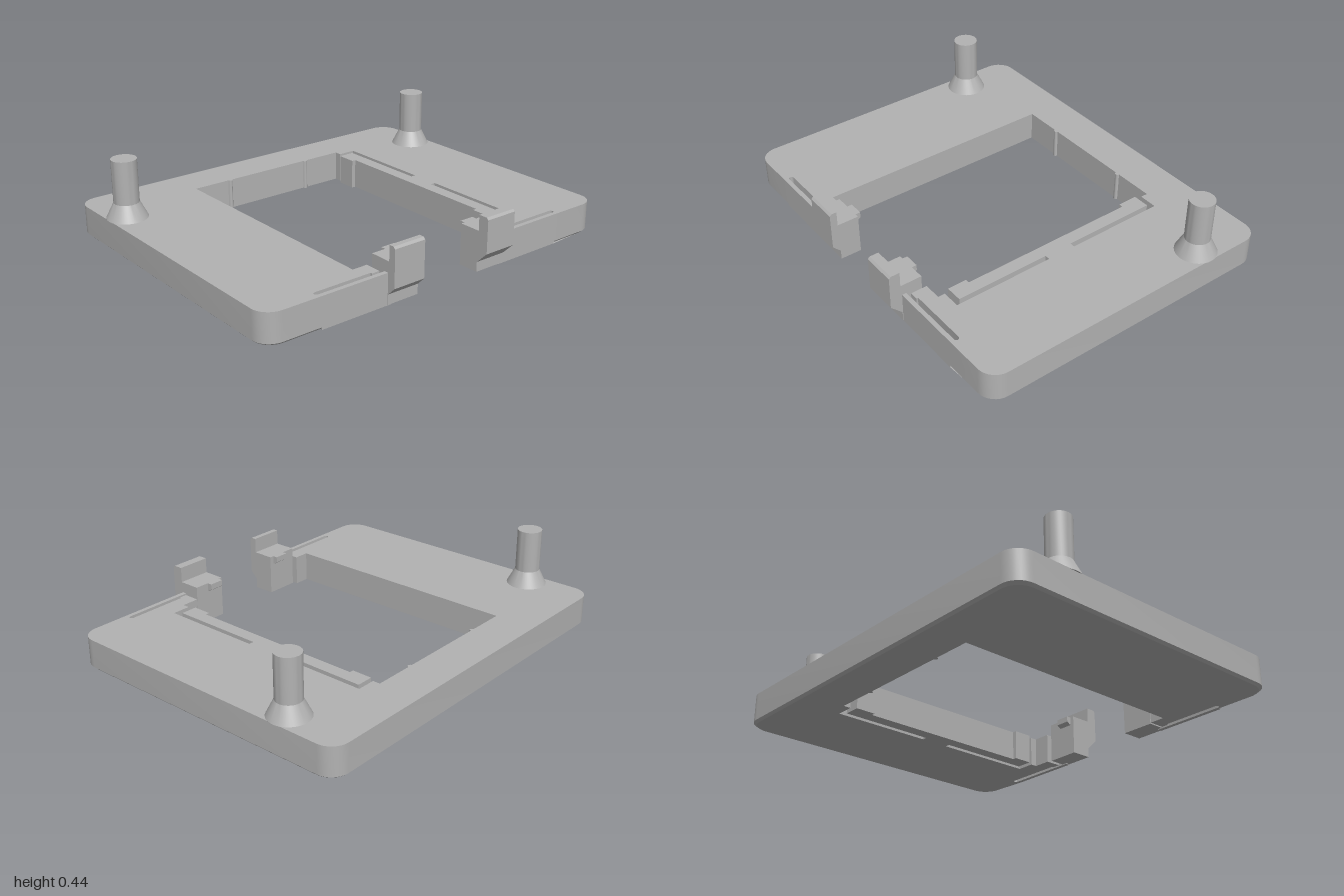
import * as THREE from 'three';
import { toCreasedNormals } from 'three/addons/utils/BufferGeometryUtils.js';

const TOP = 0.153;
const CHAMFER = 0.012;

export function createModel() {
  const group = new THREE.Group();
  const grey = new THREE.MeshStandardMaterial({ color: 0xb2b2b2 });
  grey.name = 'light grey plastic';

  const add = (name, geometry) => {
    const mesh = new THREE.Mesh(geometry, grey);
    mesh.name = name;
    group.add(mesh);
    return mesh;
  };

  // Prism with a (z, y) profile, running from x0 to x1
  const prism = (name, profile, x0, x1) => {
    const shape = new THREE.Shape(profile.map(([z, y]) => new THREE.Vector2(z, y)));
    const g = new THREE.ExtrudeGeometry(shape, { depth: x1 - x0, bevelEnabled: false });
    g.rotateY(-Math.PI / 2).translate(x1, 0, 0);
    return add(name, g);
  };

  // Points of an arc in the (x, z) plane
  const arc = (cx, cz, r, a0, a1, n) =>
    Array.from({ length: n + 1 }, (_, i) => {
      const a = a0 + ((a1 - a0) * i) / n;
      return [cx + r * Math.cos(a), cz + r * Math.sin(a)];
    });

  // Frame outline: outer edge, front flexures, opening and spring arm
  const H = Math.PI / 2;
  const W = 0.992, B = -0.815, F = 0.754, R = 0.09;
  const outline = [
    [0.32, F], [0.705, F], [0.71, F],
    ...arc(W - R, F - R, R, H, 0, 8),
    ...arc(W - R, B + R, R, 0, -H, 8),
    ...arc(-W + R, B + R, R, -H, -2 * H, 8),
    ...arc(-W + R, F - R, R, 2 * H, H, 8),
    [-0.71, F], [-0.705, F], [-0.33, F], [-0.33, 0.732],
    // left flexure slot
    ...arc(-0.708, 0.72, 0.012, H, 3 * H, 6),
    [-0.41, 0.708], [-0.41, 0.717], [-0.37, 0.717], [-0.37, 0.635],
    // opening with two small ribs on the back wall
    [-0.448, 0.635], [-0.448, -0.607],
    ...arc(-0.243, -0.607, 0.012, 2 * H, 0, 6),
    ...arc(0.238, -0.607, 0.012, 2 * H, 0, 6),
    [0.452, -0.607], [0.452, -0.57],
    // spring arm joined to the frame by one bridge
    [0.545, -0.57], [0.545, -0.062], [0.519, -0.062], [0.519, -0.545],
    [0.434, -0.545], [0.434, -0.442], [0.455, -0.442], [0.455, 0.472],
    [0.434, 0.472], [0.434, 0.57], [0.519, 0.57], [0.519, 0.086],
    [0.545, 0.086], [0.545, 0.6], [0.452, 0.6], [0.452, 0.635],
    // right flexure slot
    [0.362, 0.635], [0.362, 0.717], [0.403, 0.717], [0.403, 0.708],
    ...arc(0.708, 0.72, 0.012, -H, H, 6),
    [0.32, 0.732],
  ];
  const plate = new THREE.ExtrudeGeometry(
    new THREE.Shape(outline.map(([x, z]) => new THREE.Vector2(x, -z))),
    { depth: TOP, steps: 2, bevelEnabled: false },
  );
  plate.rotateX(-H);
  // Lower the middle ring and pull in the outer bottom edge for the chamfer
  const p = plate.attributes.position;
  const midZ = (F + B) / 2;
  for (let i = 0; i < p.count; i++) {
    const x = p.getX(i), y = p.getY(i), z = p.getZ(i);
    if (Math.abs(y - TOP / 2) < 0.001) p.setY(i, CHAMFER);
    const outer = Math.abs(x) > 0.89 || z < -0.7 || (z > 0.75 && Math.abs(x) > 0.707);
    if (y < 0.001 && outer) {
      p.setX(i, x * (1 - CHAMFER / W));
      p.setZ(i, midZ + (z - midZ) * (1 - CHAMFER / (F - midZ)));
    }
  }
  add('framePlate', toCreasedNormals(plate, 0.6));

  // Posts with flared feet
  for (const [name, x] of [['leftPost', 0.898], ['rightPost', -0.898]]) {
    const profile = [[0, 0.1], [0.1, 0.1], [0.1, TOP], [0.0615, 0.23], [0.0615, 0.444], [0, 0.444]];
    // keep the buried foot inside the plate edge
    profile[0][1] = profile[1][1] = TOP - 0.002;
    const post = new THREE.LatheGeometry(profile.map(([r, y]) => new THREE.Vector2(r, y)), 40);
    add(name, toCreasedNormals(post, 0.4)).position.set(x, 0, -0.493);
  }

  // Front clips: block, upright jaw with sloped underside, and a small lip behind
  const clip = (side, x0, x1, front, slopeTop, lip0, lip1) => {
    prism(side + 'Clip', [
      [0.65, 0.004], [0.757, 0.004], [0.757, 0.053], [front, slopeTop],
      [front, 0.274], [front - 0.01, 0.284], [0.76, 0.284], [0.76, 0.207], [0.65, 0.207],
    ], x0, x1);
    prism(side + 'ClipLip', [
      [0.66, 0.165], [0.645, 0.165], [0.625, 0.178], [0.625, 0.207], [0.66, 0.207],
    ], lip0, lip1);
  };
  clip('left', 0.177, 0.347, 0.815, 0.11, 0.197, 0.272);
  clip('right', -0.353, -0.183, 0.796, 0.092, -0.28, -0.205);

  return group;
}
